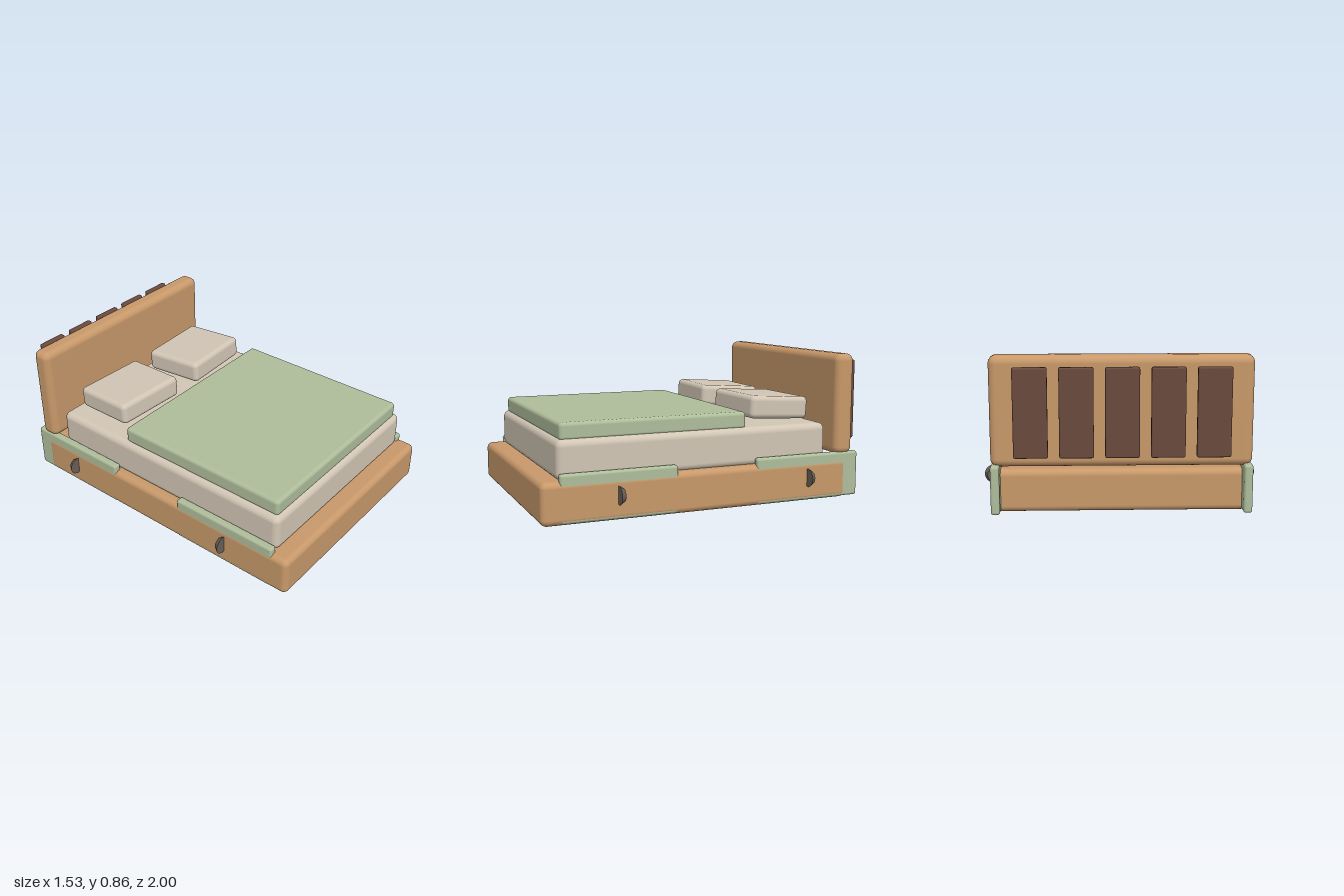
import * as THREE from 'three';
import { RoundedBoxGeometry } from 'three/addons/geometries/RoundedBoxGeometry.js';

function material(name, color) {
  const m = new THREE.MeshStandardMaterial({ color });
  m.name = name;
  return m;
}

// Soft-edged box given by its [min, max] extent on each axis
function softBox(name, mat, [x0, x1], [y0, y1], [z0, z1], radius) {
  const geometry = new RoundedBoxGeometry(x1 - x0, y1 - y0, z1 - z0, 4, radius);
  const mesh = new THREE.Mesh(geometry, mat);
  mesh.name = name;
  mesh.position.set((x0 + x1) / 2, (y0 + y1) / 2, (z0 + z1) / 2);
  return mesh;
}

export function createModel() {
  const wood = material('oak wood', 0xc8996a);
  const sage = material('sage green', 0xaebd9b);
  const linen = material('linen', 0xd2c6b5);
  const walnut = material('dark walnut', 0x6a4a3d);
  const metal = material('knob metal', 0x6b6058);

  const bed = new THREE.Group();
  bed.name = 'bed';

  // Frame, headboard and bedding
  bed.add(
    softBox('base', wood, [-0.7, 0.7], [0, 0.236], [-0.87, 1], 0.035),
    softBox('headboard', wood, [-0.7, 0.7], [0.26, 0.858], [-0.91, -0.79], 0.042),
    softBox('mattress', linen, [-0.65, 0.65], [0.225, 0.45], [-0.75, 0.897], 0.04),
    softBox('blanket', sage, [-0.617, 0.617], [0.438, 0.538], [-0.236, 0.872], 0.022)
  );

  // Slats standing behind the headboard
  for (let i = -2; i <= 2; i++) {
    const x = i * 0.239;
    bed.add(softBox('slat', walnut, [x - 0.09, x + 0.09], [0.332, 0.81], [-1, -0.966], 0.01));
  }

  for (const side of [-1, 1]) {
    const label = side > 0 ? 'left' : 'right';

    // Pillow, tipped up at the front and turned slightly
    const pillow = new THREE.Mesh(new RoundedBoxGeometry(0.467, 0.134, 0.39, 4, 0.03), linen);
    pillow.name = label + 'Pillow';
    pillow.position.set(side * 0.309, 0.539, -0.49);
    pillow.rotation.set(-0.06, side * 0.05, 0);
    bed.add(pillow);

    // Side panels set into the base
    const xs = side > 0 ? [0.65, 0.698] : [-0.698, -0.65];
    bed.add(
      softBox(label + 'FrontPanel', sage, xs, [0.008, 0.275], [0.22, 0.895], 0.015),
      softBox(label + 'BackPanel', sage, xs, [0.008, 0.275], [-0.945, -0.27], 0.015)
    );

    // Tapered round knobs, wide end to the front
    for (const z of [0.56, -0.61]) {
      const knob = new THREE.Mesh(new THREE.CylinderGeometry(0.053, 0.035, 0.028, 32), metal);
      knob.name = label + 'Knob';
      knob.rotation.x = Math.PI / 2;
      knob.position.set(side * 0.712, 0.141, z);
      bed.add(knob);
    }
  }
  return bed;
}
